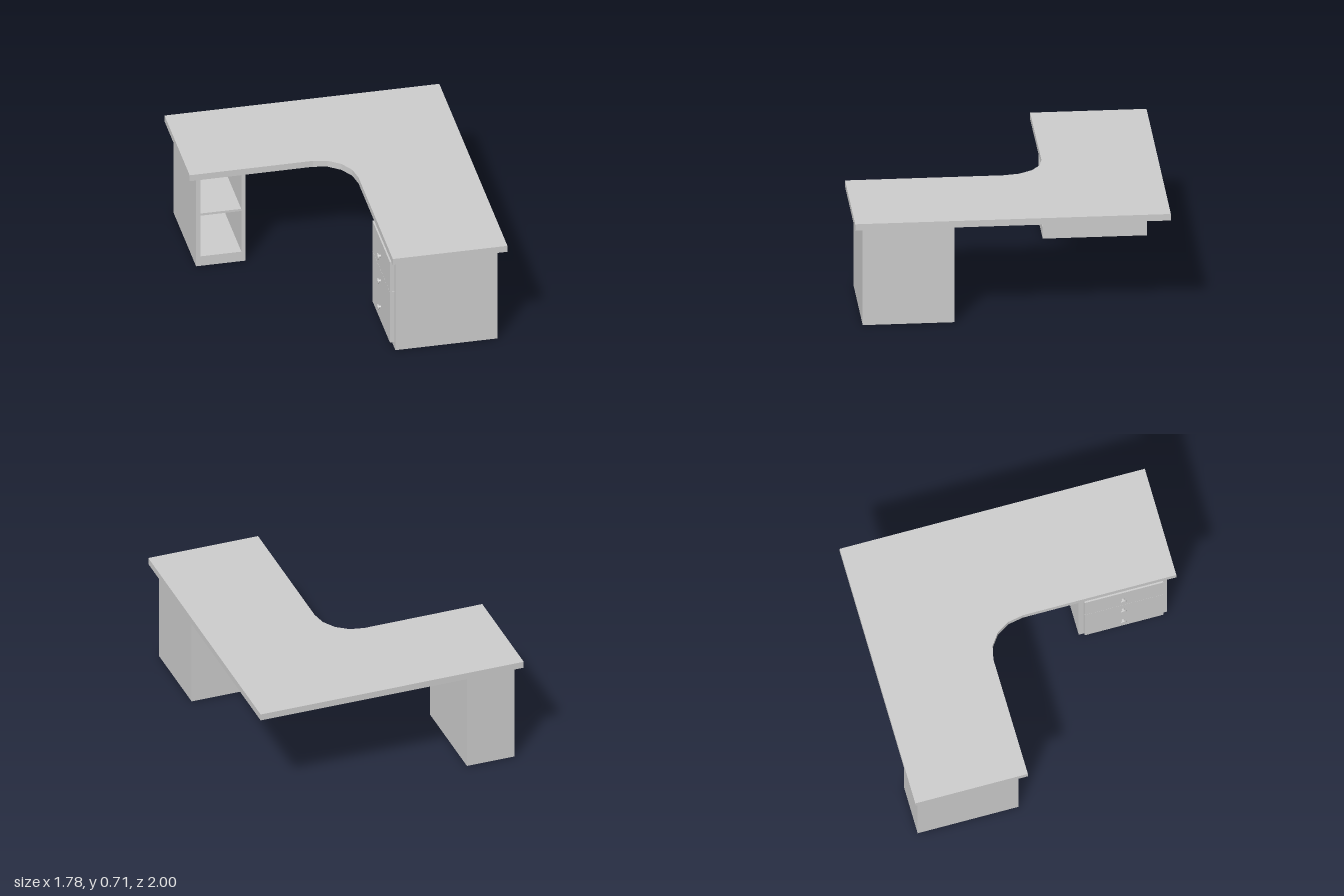
import * as THREE from 'three';

const material = new THREE.MeshStandardMaterial({ color: 0xcccccc, flatShading: true });
const thinMaterial = new THREE.MeshStandardMaterial({
  color: 0xcccccc, flatShading: true, side: THREE.DoubleSide,
});

function add(parent, name, geometry, x = 0, y = 0, z = 0, mat = material) {
  const mesh = new THREE.Mesh(geometry, mat);
  mesh.name = name;
  mesh.position.set(x, y, z);
  parent.add(mesh);
}

// Box given by its limits on each axis
function addBox(parent, name, [x0, x1], [y0, y1], [z0, z1]) {
  add(parent, name, new THREE.BoxGeometry(x1 - x0, y1 - y0, z1 - z0),
    (x0 + x1) / 2, (y0 + y1) / 2, (z0 + z1) / 2);
}

function group(parent, name) {
  const g = new THREE.Group();
  g.name = name;
  parent.add(g);
  return g;
}

const rectangle = (x0, x1, y0, y1) => [[x0, y0], [x1, y0], [x1, y1], [x0, y1]]
  .map(([x, y]) => new THREE.Vector2(x, y));

// Upright band that follows a closed outline (the outline's y is -z)
function bandGeometry(points, y0, y1) {
  const positions = [];
  points.forEach((a, i) => {
    const b = points[(i + 1) % points.length];
    positions.push(
      a.x, y0, -a.y, b.x, y0, -b.y, b.x, y1, -b.y,
      a.x, y0, -a.y, b.x, y1, -b.y, a.x, y1, -a.y);
  });
  const geometry = new THREE.BufferGeometry();
  geometry.setAttribute('position', new THREE.Float32BufferAttribute(positions, 3));
  geometry.computeVertexNormals();
  return geometry;
}

export function createModel() {
  const desk = new THREE.Group();
  desk.name = 'cornerDesk';
  const underside = 0.666, top = 0.71;

  // L-shaped worktop: a thin sheet with a hanging rim and a faceted inner curve
  const outline = new THREE.Shape();
  outline.moveTo(-0.888, 1);
  outline.lineTo(-0.888, 0.262);
  outline.lineTo(-0.09, 0.265);
  outline.absellipse(-0.09, 0.005, 0.237, 0.26, Math.PI / 2, 0, true);
  outline.lineTo(0.147, -1);
  outline.lineTo(0.888, -1);
  outline.lineTo(0.888, 1);
  const worktop = group(desk, 'worktop');
  const sheet = new THREE.ShapeGeometry(outline, 2).rotateX(-Math.PI / 2);
  add(worktop, 'worktopSheet', sheet, 0, top, 0, thinMaterial);
  add(worktop, 'worktopRim', bandGeometry(outline.getPoints(2), underside, top), 0, 0, 0, thinMaterial);

  // Open cabinet: framed front around a deep recess
  const shelving = group(desk, 'shelfCabinet');
  const zFront = -0.31, zBack = -0.97, backThickness = 0.03;
  const frame = new THREE.Shape(rectangle(-0.836, -0.516, 0, underside));
  frame.holes.push(new THREE.Path(rectangle(-0.808, -0.543, 0.07, 0.638)));
  add(shelving, 'cabinetShell', new THREE.ExtrudeGeometry(frame,
    { depth: zFront - zBack - backThickness, bevelEnabled: false }), 0, 0, zBack + backThickness);
  addBox(shelving, 'cabinetBack', [-0.836, -0.516], [0, underside], [zBack, zBack + backThickness]);
  addBox(shelving, 'shelf', [-0.808, -0.543], [0.368, 0.384], [zBack + backThickness, zFront - 0.005]);

  // Drawer cabinet facing the seat
  const drawers = group(desk, 'drawerCabinet');
  addBox(drawers, 'cabinetBody', [0.175, 0.835], [0, underside], [0.368, 0.948]);
  for (const y of [[0.415, 0.635], [0.04, 0.413]]) {
    addBox(drawers, 'drawerFront', [0.147, 0.175], y, [0.4, 0.915]);
  }
  for (const y of [0.523, 0.34, 0.147]) {
    const knob = group(drawers, 'knob');
    knob.position.set(0.147, y, 0.65);
    knob.rotation.z = Math.PI / 2;
    add(knob, 'knobStem', new THREE.CylinderGeometry(0.009, 0.009, 0.016, 12), 0, 0.008, 0);
    add(knob, 'knobHead', new THREE.CylinderGeometry(0.02, 0.02, 0.008, 16), 0, 0.02, 0);
  }

  return desk;
}
